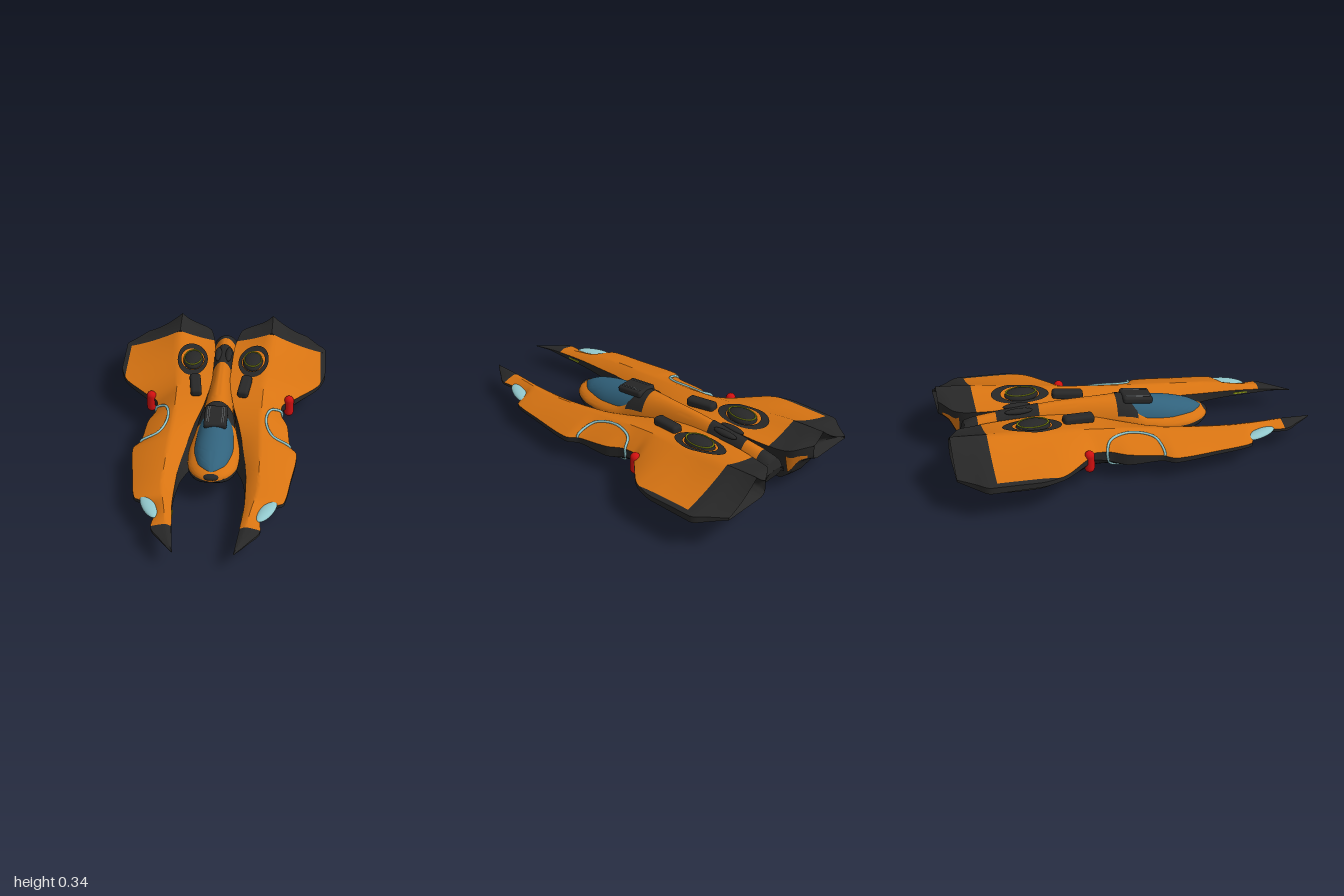
import * as THREE from 'three';
import { toCreasedNormals } from 'three/addons/utils/BufferGeometryUtils.js';
import { RoundedBoxGeometry } from 'three/addons/geometries/RoundedBoxGeometry.js';

const material = (name, color) => Object.assign(new THREE.MeshStandardMaterial({ color }), { name });
const lerp = THREE.MathUtils.lerp;

// Smooth monotone curve through [z, value] keys, listed from nose to tail
function profile(...k) {
  const slope = i => (k[i + 1][1] - k[i][1]) / (k[i + 1][0] - k[i][0]);
  const tangent = i => {
    if (i === 0) return slope(0);
    if (i === k.length - 1) return slope(i - 1);
    const a = slope(i - 1), b = slope(i);
    return a * b <= 0 ? 0 : 2 * a * b / (a + b);
  };
  return z => {
    if (z >= k[0][0]) return k[0][1];
    if (z <= k[k.length - 1][0]) return k[k.length - 1][1];
    let i = 0;
    while (z < k[i + 1][0]) i++;
    const h = k[i + 1][0] - k[i][0], t = (z - k[i][0]) / h, t2 = t * t, t3 = t2 * t;
    return (2 * t3 - 3 * t2 + 1) * k[i][1] + (t3 - 2 * t2 + t) * h * tangent(i)
      + (3 * t2 - 2 * t3) * k[i + 1][1] + (t3 - t2) * h * tangent(i + 1);
  };
}

// Surface from a rule point(u, v) => [x, y, z]
function surface(point, nu, nv, crease = 0.6) {
  const pos = [], index = [], w = nv + 1;
  for (let i = 0; i <= nu; i++) for (let j = 0; j <= nv; j++) pos.push(...point(i / nu, j / nv));
  for (let i = 0; i < nu; i++) for (let j = 0; j < nv; j++) {
    const a = i * w + j, b = a + w;
    index.push(a, a + 1, b, b, a + 1, b + 1);
  }
  const g = new THREE.BufferGeometry();
  g.setAttribute('position', new THREE.Float32BufferAttribute(pos, 3));
  g.setIndex(index);
  return toCreasedNormals(g, crease);
}

// Side hull profiles: inner edge, ridge, outer edge, keel
const xi = profile([1, .15], [.82, .17], [.6, .185], [.4, .182], [.17, .155], [0, .125], [-.2, .075], [-.4, .05], [-.7, .055], [-.84, .07], [-.92, .09], [-1, .2]);
const yi = profile([1, .112], [.82, .13], [.5, .14], [.17, .165], [-.08, .21], [-.33, .255], [-.55, .27], [-.85, .27], [-1, .29]);
const xr = profile([1, .152], [.9, .185], [.7, .22], [.5, .25], [-.1, .24], [-.5, .25], [-.8, .27], [-1, .272]);
const yr = profile([1, .115], [.82, .143], [.58, .17], [.17, .212], [-.08, .24], [-.33, .27], [-.6, .3], [-.81, .328], [-1, .343]);
const xo = profile([1, .155], [.92, .215], [.82, .275], [.73, .268], [.64, .29], [.59, .385], [.4, .415], [.16, .442], [.09, .405], [-.08, .385], [-.19, .347], [-.25, .35], [-.33, .43], [-.48, .56], [-.6, .59], [-.84, .59], [-.92, .535], [-1, .478]);
const yo = profile([1, .112], [.82, .125], [.4, .132], [.17, .138], [-.08, .16], [-.3, .185], [-.6, .2], [-1, .212]);
const ye = profile([1, .11], [.58, .11], [.1, .11], [-.08, .1], [-.33, .155], [-.5, .172], [-.85, .172], [-1, .2]);
const yb = profile([1, .108], [.82, .09], [.5, .07], [.17, .05], [-.08, .038], [-.33, .014], [-.55, 0], [-.72, .012], [-.84, .045], [-.91, .095], [-.955, .18], [-1, .2]);
const bow = profile([1, .4], [.2, .4], [-.2, .1], [-.5, -.25], [-1, -.5]);
const xb = z => Math.min(.23, (xi(z) + xo(z)) / 2);
const xl = profile([1, .15], [.82, .17], [.6, .185], [.4, .17], [.17, .11], [-.1, .1], [-.85, .11], [-.95, .15], [-1, .2]);
const yl = z => Math.min(yi(z) - .002, Math.max(.075, yb(z) + .02));
const arc = (a, b, s, c) => lerp(a, b, s) + c * Math.abs(a - b) * s * (1 - s);

const topY = (x, z) => x < xr(z)
  ? arc(yi(z), yr(z), THREE.MathUtils.clamp((x - xi(z)) / (xr(z) - xi(z)), 0, 1), bow(z))
  : arc(yr(z), yo(z), Math.min(1, (x - xr(z)) / (xo(z) - xr(z))), bow(z));
const top = (t, z) => {
  const x = t < .35 ? lerp(xi(z), xr(z), t / .35) : lerp(xr(z), xo(z), (t - .35) / .65);
  return [x, topY(x, z), z];
};
const under = (t, z) => {
  if (t < .1) return [xo(z), lerp(yo(z), ye(z), t / .1), z];
  if (t < .5) { const s = (t - .1) / .4; return [lerp(xo(z), xb(z), s), arc(ye(z), yb(z), s, -.35), z]; }
  if (t < .85) { const s = (t - .5) / .35; return [lerp(xb(z), xl(z), s), arc(yb(z), yl(z), s, -.5), z]; }
  const s = (t - .85) / .15;
  return [lerp(xl(z), xi(z), s), lerp(yl(z), yi(z), s), z];
};
const paintEdge = z => z < -.48 ? .35 + .65 * Math.min(1, (.562 - xr(z)) / (xo(z) - xr(z))) : 1;

// Fuselage and canopy profiles
const fw = profile([.455, .005], [.43, .065], [.38, .105], [.3, .132], [.2, .138], [0, .11], [-.2, .082], [-.5, .065], [-.8, .07], [-.905, .08]);
const ft = profile([.455, .15], [.42, .185], [.3, .2], [.1, .225], [0, .295], [-.08, .312], [-.35, .316], [-.6, .302], [-.8, .285], [-.89, .262], [-.905, .2]);
const fb = profile([.455, .145], [.4, .108], [.3, .085], [.15, .07], [-.7, .07], [-.82, .1], [-.89, .14], [-.905, .199]);
const cw = profile([.425, .005], [.4, .04], [.34, .08], [.2, .106], [.05, .1], [-.06, .085]);
const ct = profile([.425, .18], [.4, .2], [.34, .23], [.2, .268], [.05, .294], [-.06, .309]);
const body = (a, z, lift = 0) => {
  const up = Math.sin(a) > 0, p = up ? 1 : .6, mid = Math.min(.15, (ft(z) + fb(z)) / 2), s = Math.sin(a), c = Math.cos(a);
  return [fw(z) * Math.sign(c) * Math.abs(c) ** p, mid + (up ? ft(z) - mid : mid - fb(z)) * Math.sign(s) * Math.abs(s) ** p + lift, z];
};

export function createModel() {
  const orange = material('orangePaint', 0xd87412), dark = material('darkHull', 0x272727), glass = material('blueGlass', 0x31627c);
  const cyan = material('paleCyan', 0x92c8cc), red = material('redLamp', 0xd01010), lime = material('limeTrim', 0x93a015), grey = material('greyTrim', 0x6a6e70);
  const model = new THREE.Group();
  const add = (parent, name, geometry, mat, position = [0, 0, 0], scale = [1, 1, 1]) => {
    const m = new THREE.Mesh(geometry, mat);
    m.name = name;
    m.position.set(...position);
    m.scale.set(...scale);
    parent.add(m);
    return m;
  };
  const ball = new THREE.SphereGeometry(1, 28, 18);

  // Left hull
  const hull = new THREE.Group();
  const topSkin = (name, mat, z0, z1, n, t0, t1) => add(hull, name, surface((u, v) => {
    const z = lerp(z0, z1, u);
    return top(lerp(t0(z), t1(z), v), z);
  }, n, 20), mat);
  const zero = () => 0, one = () => 1;
  topSkin('noseTip', dark, 1, .82, 16, zero, one);
  topSkin('upperHull', orange, .82, -.81, 110, zero, paintEdge);
  topSkin('wingEdge', dark, -.48, -.81, 20, paintEdge, one);
  topSkin('tailTop', dark, -.81, -1, 18, zero, one);
  add(hull, 'lowerHull', surface((u, v) => under(v, lerp(1, -1, u)), 130, 40), dark);
  add(hull, 'tailHollow', surface((u, v) => {
    const a = top(v, -1), b = under(1 - v, -1);
    return [lerp(a[0], b[0], u), lerp(a[1], b[1], u), -1 + .05 * Math.sin(Math.PI * u) * Math.sin(Math.PI * v)];
  }, 10, 20), dark);
  add(hull, 'rearInlay', surface((u, v) => {
    const p = under(lerp(.87, lerp(.97, .9, u), v), lerp(-.9, -.98, u));
    return [p[0] - .004, p[1], p[2] - .003];
  }, 8, 4), orange);

  // Round vents lying on the upper hull
  const ellipseRing = (r0, r1, rz0, rz1, lift) => surface((u, v) => {
    const a = u * Math.PI * 2, x = .175 + Math.cos(a) * lerp(r0, r1, v), z = -.555 + Math.sin(a) * lerp(rz0, rz1, v);
    return [x, topY(x, z) + lift, z];
  }, 48, 4);
  add(hull, 'ventSurround', ellipseRing(.066, .086, .105, .158, .006), dark).material.side = THREE.DoubleSide;
  add(hull, 'ventDome', ball, dark, [.172, .284, -.55], [.058, .036, .092]);
  const ventRing = add(hull, 'ventRing', new THREE.TorusGeometry(.05, .003, 6, 40), lime, [.172, .305, -.55], [1, 1.65, 1]);
  ventRing.rotation.x = Math.PI / 2;
  const block = add(hull, 'shoulderBlock', new RoundedBoxGeometry(.062, .05, .17, 3, .018), dark, [.138, .272, -.3]);
  block.rotation.set(.08, -.12, 0);

  // Side scoop outline following the skin
  const onTop = (x, z) => new THREE.Vector3(x, topY(x, z) + .003, z);
  const scoop = [onTop(.405, .105), onTop(.31, .08), onTop(.275, .01), onTop(.272, -.08), onTop(.3, -.165), onTop(.352, -.193)];
  for (const [t, z] of [[.14, -.18], [.25, -.14], [.27, 0], [.22, .08]]) scoop.push(new THREE.Vector3(...under(t, z)));
  add(hull, 'scoopRim', new THREE.TubeGeometry(new THREE.CatmullRomCurve3(scoop, true), 90, .007, 8, true), cyan);

  // Oval rim under the wing
  const oval = [];
  for (let i = 0; i < 20; i++) {
    const a = i * Math.PI / 10;
    oval.push(new THREE.Vector3(...under(.29 + .12 * Math.cos(a), -.68 + .17 * Math.sin(a))));
  }
  add(hull, 'underwingRim', new THREE.TubeGeometry(new THREE.CatmullRomCurve3(oval, true), 80, .009, 8, true), dark);

  // Lamps
  const headlamp = add(hull, 'headlamp', ball, cyan, [.3, .131, .665], [.036, .018, .1]);
  headlamp.rotation.y = -.42;
  add(hull, 'sideLamp', new THREE.CapsuleGeometry(.027, .07, 6, 16), red, [.388, .157, -.298]);
  const strip = under(.92, .72);
  add(hull, 'innerStrip', new THREE.BoxGeometry(.006, .008, .09), lime, strip);

  hull.name = 'leftHull';
  const right = hull.clone();
  right.name = 'rightHull';
  right.scale.x = -1;
  model.add(hull, right);

  // Central fuselage
  const bodySkin = (name, mat, z0, z1, a0, a1, lift = 0) => add(model, name,
    surface((u, v) => body(lerp(a0, a1, v), lerp(z0, z1, u), lift), 70, 28), mat);
  bodySkin('fuselageTop', orange, .455, -.82, Math.PI, 0);
  bodySkin('fuselageTail', dark, -.82, -.905, Math.PI, 0);
  bodySkin('fuselageBelly', dark, .455, -.905, 0, -Math.PI);
  bodySkin('cockpitRearPanel', dark, .04, -.07, 2.7, .44, .005);
  bodySkin('spinePanel', dark, -.49, -.72, 2.6, .54, .005);
  for (const s of [-1, 1]) add(model, 'spineBump', ball, dark, [s * .03, .3, -.6], [.02, .016, .075]);

  // Canopy
  add(model, 'canopy', surface((u, v) => {
    const z = lerp(.425, -.06, u), a = Math.PI * (1 - v);
    return [cw(z) * Math.cos(a), .165 + (ct(z) - .165) * Math.sin(a), z];
  }, 50, 28), glass);
  const hatch = new THREE.Group();
  hatch.name = 'canopyHatch';
  hatch.position.set(0, .287, .05);
  hatch.rotation.x = .13;
  add(hatch, 'hatchBlock', new RoundedBoxGeometry(.125, .04, .165, 3, .015), dark);
  for (const x of [-.045, -.035, .035, .045]) add(hatch, 'hatchStripe', new THREE.BoxGeometry(.003, .004, .13), grey, [x, .02, 0]);
  model.add(hatch);
  add(model, 'noseCap', ball, dark, [0, .16, .425], [.045, .02, .028]);

  return model;
}
